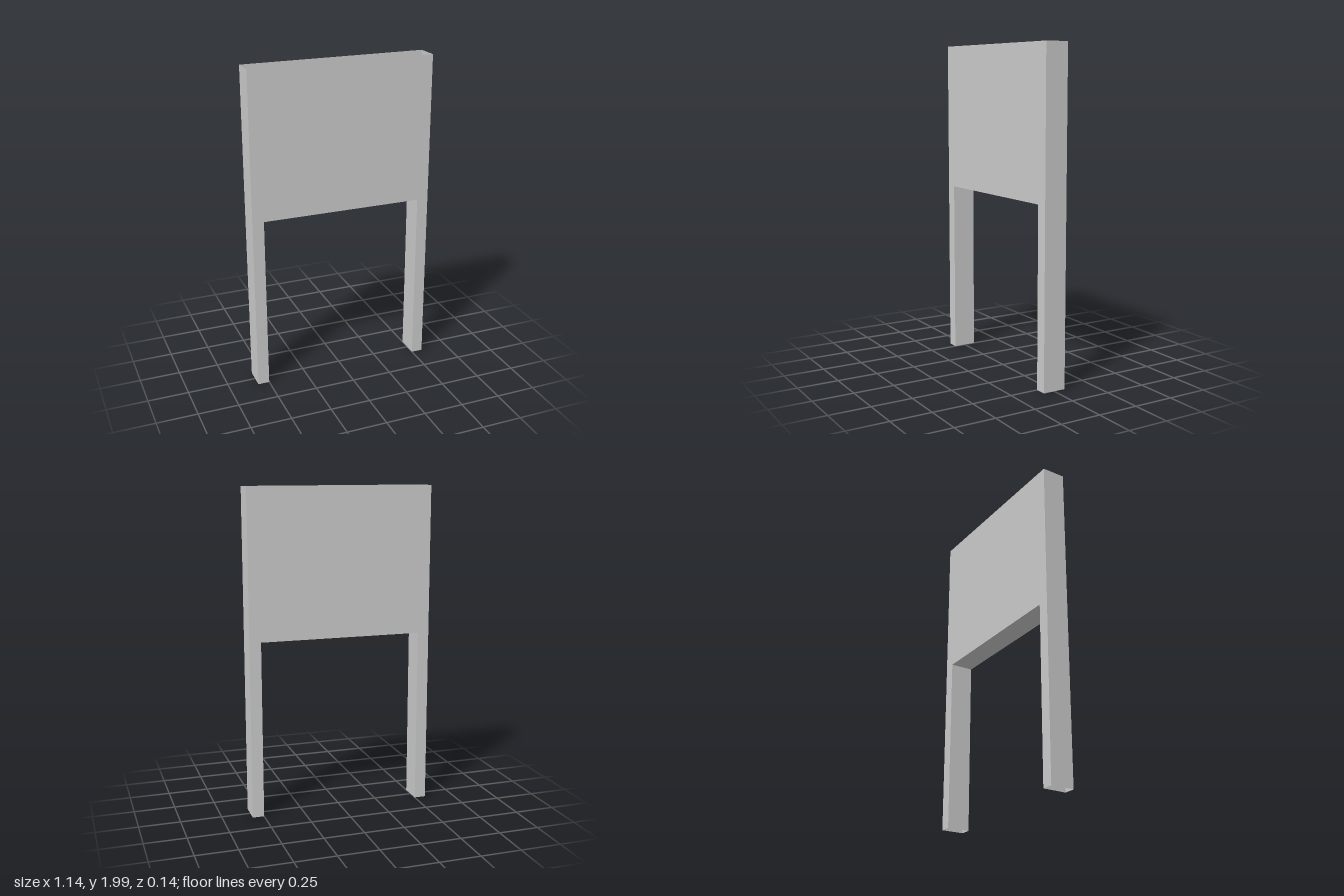
import * as THREE from 'three';

export function createModel() {
  const group = new THREE.Group();
  const mat = new THREE.MeshStandardMaterial({ color: 0xcccccc, side: THREE.DoubleSide, flatShading: true });

  const outer = 0.571, inner = 0.5, halfDepth = 0.072;
  const foot = 0.01, shelfY = 1.095, top = 2;

  const add = (name, geometry) => {
    const mesh = new THREE.Mesh(geometry, mat);
    mesh.name = name;
    group.add(mesh);
    return mesh;
  };

  // Front and back panels: an upside-down U outline
  const outline = new THREE.Shape([
    [-outer, foot], [-inner, foot], [-inner, shelfY], [inner, shelfY],
    [inner, foot], [outer, foot], [outer, top], [-outer, top],
  ].map(([x, y]) => new THREE.Vector2(x, y)));
  add('frontPanel', new THREE.ShapeGeometry(outline)).position.z = halfDepth;
  const back = add('backPanel', new THREE.ShapeGeometry(outline));
  back.rotation.y = Math.PI;
  back.position.z = -halfDepth;

  // Side walls, facing out of the shell; the top and the feet stay open
  const wall = (name, x, y0, y1, facing) => {
    const mesh = add(name, new THREE.PlaneGeometry(2 * halfDepth, y1 - y0));
    mesh.rotation.y = facing * Math.PI / 2;
    mesh.position.set(x, (y0 + y1) / 2, 0);
  };
  for (const [side, s] of [['left', 1], ['right', -1]]) {
    wall(side + 'OuterWall', s * outer, foot, top, s);
    wall(side + 'LegInnerWall', s * inner, foot, shelfY, -s);
  }

  // Floor of the open box between the legs
  const floor = add('boxFloor', new THREE.PlaneGeometry(2 * inner, 2 * halfDepth));
  floor.rotation.x = Math.PI / 2;
  floor.position.y = shelfY;

  return group;
}
